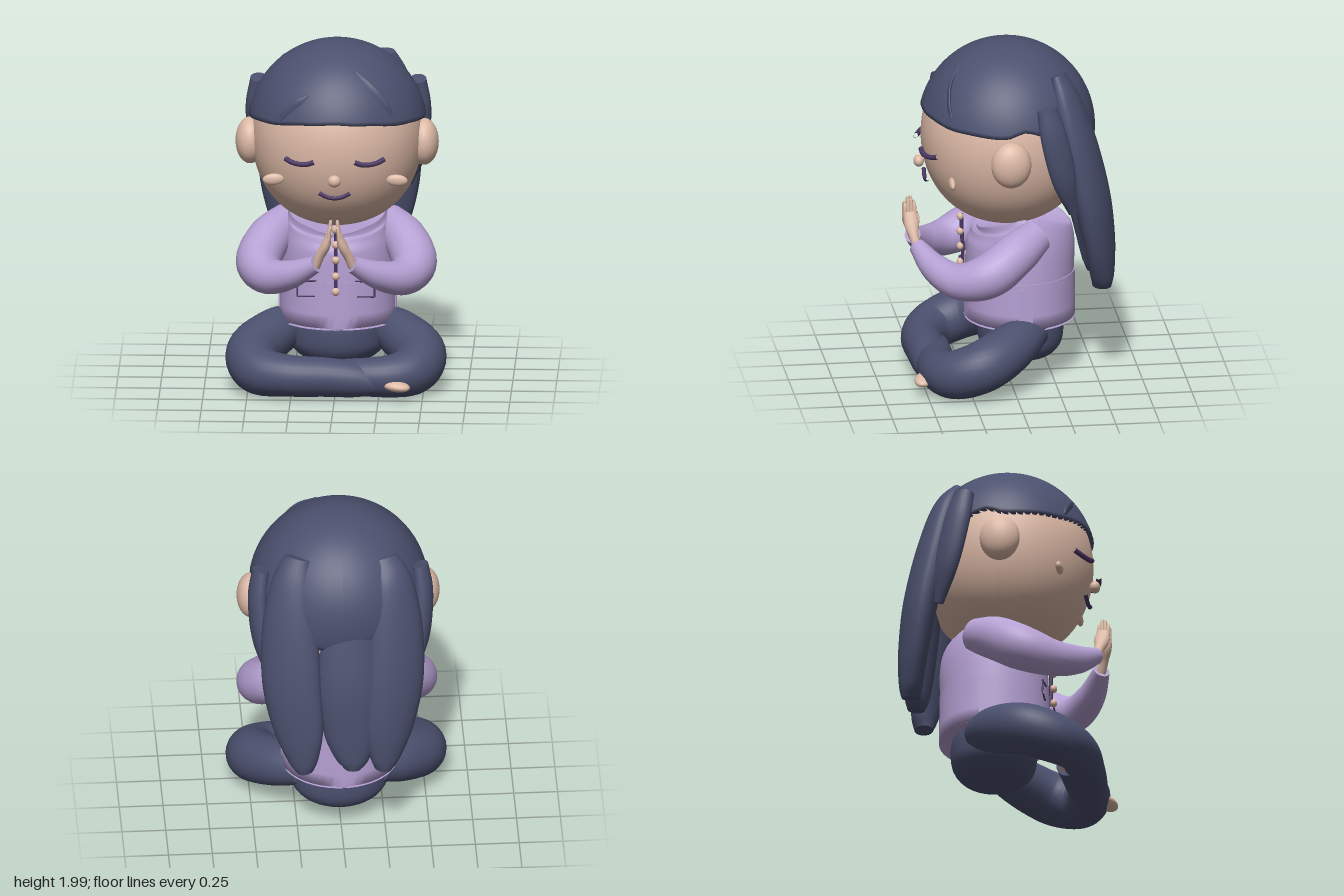
import * as THREE from 'three';

const mat = (name, color) => Object.assign(new THREE.MeshStandardMaterial({ color }), { name });
const V = (x, y, z) => new THREE.Vector3(x, y, z);
const X = V(1, 0, 0), Y = V(0, 1, 0), Z = V(0, 0, 1);

// Smooth capped tube with elliptical sections; each point is [x, y, z, width, thickness].
// The thickness axis leans towards the hint direction.
function loft(points, hint, steps = 28, sides = 24) {
  const path = new THREE.CatmullRomCurve3(points.map(p => V(p[0], p[1], p[2])), false, 'catmullrom');
  const size = new THREE.CatmullRomCurve3(points.map(p => V(p[3], p[4] ?? p[3], 0)), false, 'catmullrom');
  const pos = [], idx = [];
  for (let i = 0; i <= steps; i++) {
    const c = path.getPoint(i / steps), r = size.getPoint(i / steps), t = path.getTangent(i / steps);
    const w = hint.clone().cross(t).normalize(), n = t.clone().cross(w);
    for (let j = 0; j < sides; j++) {
      const a = j / sides * Math.PI * 2;
      const p = c.clone().addScaledVector(w, Math.cos(a) * r.x).addScaledVector(n, Math.sin(a) * r.y);
      pos.push(p.x, p.y, p.z);
      if (i === steps) continue;
      const k = (j + 1) % sides, lo = i * sides, hi = lo + sides;
      idx.push(lo + j, lo + k, hi + k, lo + j, hi + k, hi + j);
    }
  }
  // Flat end caps with their own vertices
  for (const end of [0, 1]) {
    const c = path.getPoint(end), base = pos.length / 3, ring = end * steps * sides;
    pos.push(c.x, c.y, c.z);
    for (let j = 0; j < sides; j++) {
      const q = (ring + j) * 3, a = base + 1 + j, b = base + 1 + (j + 1) % sides;
      pos.push(pos[q], pos[q + 1], pos[q + 2]);
      idx.push(base, end ? a : b, end ? b : a);
    }
  }
  const g = new THREE.BufferGeometry();
  g.setAttribute('position', new THREE.Float32BufferAttribute(pos, 3));
  g.setIndex(idx);
  g.computeVertexNormals();
  return g;
}

// Hair cap: a dome whose lower edge changes height around the head
const CAP = { y: 1.49, rx: 0.512, ry: 0.51, rz: 0.505 };
function capEdge(a) {
  const d = Math.abs(a) * 180 / Math.PI;
  const keys = [[0, 1.62], [18, 1.61], [50, 1.585], [82, 1.57], [96, 1.605], [106, 1.58], [125, 1.46], [150, 1.37], [181, 1.35]];
  const i = keys.findIndex(k => d < k[0]);
  const [d0, y0] = keys[i - 1], [d1, y1] = keys[i];
  return THREE.MathUtils.lerp(y0, y1, THREE.MathUtils.smoothstep(d, d0, d1));
}
function hairCap() {
  const g = new THREE.SphereGeometry(1, 72, 30), p = g.attributes.position, cols = 73, rows = 30;
  for (let i = 0; i < p.count; i++) {
    const row = Math.floor(i / cols), a = (i % cols) / 72 * Math.PI * 2 - Math.PI;
    const last = Math.acos((capEdge(a) - CAP.y) / CAP.ry);
    const th = last * Math.min(row / (rows - 1), 1), k = row === rows ? 0.88 : 1; // last row turns inward
    p.setXYZ(i, Math.sin(th) * Math.sin(a) * CAP.rx * k, CAP.y + Math.cos(th) * CAP.ry,
      Math.sin(th) * Math.cos(a) * CAP.rz * k);
  }
  g.computeVertexNormals();
  return g;
}
const onCap = (x, y) => CAP.rz * Math.sqrt(Math.max(0, 1 - (x / CAP.rx) ** 2 - ((y - CAP.y) / CAP.ry) ** 2));

// Head with full cheeks: the lower half swells slightly
function headShape() {
  const g = new THREE.SphereGeometry(1, 64, 48), p = g.attributes.position;
  for (let i = 0; i < p.count; i++) {
    const y = p.getY(i), k = y < 0 ? 0.488 * (1 + 0.09 * y * y) : 0.488;
    p.setXYZ(i, p.getX(i) * k, 1.45 + y * 0.523, p.getZ(i) * k);
  }
  g.computeVertexNormals();
  return g;
}

// Jacket body with a neckline that dips in the middle
function jacketBody() {
  const g = loft([[0, 0.36, -0.075, 0.325, 0.31], [0, 0.62, -0.075, 0.325, 0.31], [0, 0.82, -0.08, 0.315, 0.305],
    [0, 0.94, -0.06, 0.295, 0.265], [0, 1.0, -0.035, 0.275, 0.22]], Z, 30, 48);
  const p = g.attributes.position;
  for (let i = 0; i < p.count; i++) p.setY(i, Math.min(p.getY(i), 0.895 + 1.45 * p.getX(i) ** 2));
  g.computeVertexNormals();
  return g;
}

export function createModel() {
  const model = new THREE.Group();
  const skin = mat('skin', 0xdcb9a6), navy = mat('navy', 0x4b506e);
  const lavender = mat('lavender', 0xb5a0d3), plum = mat('plum', 0x4c3763);
  navy.side = THREE.DoubleSide;

  const add = (name, geometry, material, parent = model) => {
    const m = new THREE.Mesh(geometry, material);
    m.name = name;
    parent.add(m);
    return m;
  };
  const ball = (name, material, at, scale, roll = 0) => {
    const m = add(name, new THREE.SphereGeometry(1, 32, 24), material);
    m.position.set(...at);
    m.scale.set(...scale);
    m.rotation.z = roll;
    return m;
  };
  const line = (name, pts, r) => add(name, new THREE.TubeGeometry(
    new THREE.CatmullRomCurve3(pts.map(p => V(...p))), 20, r, 8), plum);
  const mirror = (pts, s) => pts.map(([x, ...rest]) => [x * s, ...rest]);

  // Head and face
  add('head', headShape(), skin);
  ball('nose', skin, [0, 1.295, 0.503], [0.037, 0.035, 0.03]);
  line('mouth', [[-0.088, 1.215, 0.462], [-0.045, 1.193, 0.465], [0, 1.186, 0.466], [0.045, 1.193, 0.465], [0.088, 1.215, 0.462]], 0.012);
  add('hairCap', hairCap(), navy);

  // Torso: jacket, lower panel, and trouser seat
  add('jacket', jacketBody(), lavender);
  add('jacketSkirt', loft([[0, 0.35, -0.075, 0.333, 0.317], [0, 0.63, -0.075, 0.331, 0.315]], Z, 4, 48), lavender);
  add('trouserSeat', loft([[0, 0.1, -0.08, 0.08, 0.08], [0, 0.13, -0.08, 0.2, 0.18], [0, 0.2, -0.08, 0.27, 0.235],
    [0, 0.3, -0.08, 0.28, 0.245], [0, 0.38, -0.08, 0.27, 0.235]], Z, 24, 40), navy);

  // Front fastening
  line('placket', [[0, 0.56, 0.25], [0, 0.75, 0.25], [0, 0.87, 0.256], [0, 0.97, 0.258]], 0.011);
  for (const y of [0.585, 0.675, 0.77, 0.86, 0.95]) ball('button', skin, [0, y, 0.265], [0.023, 0.023, 0.02]);

  for (const s of [1, -1]) {
    // Ears, closed eyes, cheeks
    ball('ear', skin, [s * 0.495, 1.415, 0.035], [0.084, 0.135, 0.115]);
    line('closedEye', mirror([[0.115, 1.408, 0.505], [0.155, 1.393, 0.5], [0.2, 1.389, 0.483], [0.245, 1.395, 0.458], [0.28, 1.408, 0.43]], s), 0.015);
    ball('cheek', skin, [s * 0.352, 1.267, 0.356], [0.061, 0.033, 0.02], -s * 0.06);

    // Pocket outline
    const rim = [[0.11, 0.642], [0.22, 0.636], [0.22, 0.55], [0.12, 0.55]];
    for (let i = 0; i < 3; i++) {
      const [a, b] = [rim[i], rim[i + 1]];
      line('pocketTrim', [[s * a[0], a[1], 0.24], [s * b[0], b[1], 0.235]], 0.005);
    }

    // Side vent flap
    add('sideVent', new THREE.BoxGeometry(0.008, 0.24, 0.08), lavender).position.set(s * 0.331, 0.48, -0.07);

    // Sleeve
    add('sleeve', loft(mirror([[0.28, 0.91, -0.135, 0.1], [0.385, 0.835, 0.0, 0.125], [0.445, 0.735, 0.16, 0.128],
      [0.385, 0.69, 0.32, 0.105], [0.25, 0.73, 0.44, 0.082], [0.1, 0.815, 0.525, 0.048]], s), Y, 36), lavender);

    // Praying hand
    const hand = new THREE.Group();
    hand.name = 'hand';
    model.add(hand);
    add('palm', loft(mirror([[0.105, 0.8, 0.52, 0.028, 0.026], [0.08, 0.865, 0.54, 0.028, 0.026],
      [0.048, 0.93, 0.55, 0.042, 0.028], [0.029, 1.0, 0.556, 0.036, 0.015]], s), X, 14, 16), skin, hand);
    [1.055, 1.08, 1.075, 1.05].forEach((top, i) => add('finger', loft(mirror([
      [0.03, 0.97, 0.528 + i * 0.018, 0.012], [0.026, 1.02, 0.53 + i * 0.018, 0.011],
      [0.019, top - 0.008, 0.532 + i * 0.017, 0.009], [0.018, top, 0.532 + i * 0.017, 0.003]], s), X, 10, 10), skin, hand));
    add('thumb', loft(mirror([[0.06, 0.9, 0.53, 0.016], [0.035, 0.95, 0.515, 0.013], [0.018, 0.985, 0.512, 0.006]], s), X, 8, 10), skin, hand);

    // Long back strand (the right one starts a little lower) and short strand behind the ear
    const out = V(s * 0.4, 0, -1).normalize();
    const [topY, topZ] = s > 0 ? [1.865, -0.265] : [1.835, -0.25];
    add('longStrand', loft(mirror([[0.25, topY, topZ, 0.075, 0.04], [0.285, 1.7, -0.315, 0.125, 0.075], [0.3, 1.45, -0.38, 0.165, 0.095],
      [0.295, 1.13, -0.455, 0.175, 0.095], [0.26, 0.85, -0.502, 0.15, 0.083], [0.235, 0.66, -0.52, 0.095, 0.068],
      [0.22, 0.575, -0.52, 0.05, 0.055]], s), out, 36), navy);
    add('sideStrand', loft(mirror([[0.455, 1.73, -0.175, 0.06, 0.045], [0.475, 1.55, -0.215, 0.08, 0.05],
      [0.455, 1.3, -0.275, 0.075, 0.045], [0.39, 1.08, -0.335, 0.03, 0.025]], s), V(s, 0, -0.35), 20), navy);
  }

  // Low ridges in the fringe
  const ridges = [
    [[0.11, 1.89, 0.008], [0.19, 1.8, 0.035], [0.27, 1.71, 0.035], [0.32, 1.65, 0.01]],
    [[-0.15, 1.77, 0.008], [-0.2, 1.72, 0.035], [-0.27, 1.66, 0.035], [-0.31, 1.62, 0.01]],
  ];
  for (const ridge of ridges) {
    add('fringeLock', loft(ridge.map(([x, y, w]) => [x, y, onCap(x, y) - 0.007, w, 0.011]), Z, 16, 16), navy);
  }

  // Middle back strand
  add('middleStrand', loft([[-0.03, 1.7, -0.37, 0.1, 0.05], [-0.03, 1.4, -0.43, 0.16, 0.08], [-0.03, 1.1, -0.485, 0.18, 0.095],
    [-0.04, 0.82, -0.505, 0.155, 0.085], [-0.05, 0.65, -0.515, 0.1, 0.07], [-0.05, 0.58, -0.52, 0.05, 0.05]], V(0, 0, -1), 30), navy);

  // Crossed legs: the right shin passes in front of the left one
  const thigh = [[0.21, 0.325, -0.13, 0.1], [0.35, 0.28, 0.0, 0.137], [0.475, 0.21, 0.18, 0.15]];
  add('leftLeg', loft([...thigh, [0.44, 0.148, 0.345, 0.14], [0.28, 0.13, 0.425, 0.118],
    [0.05, 0.125, 0.41, 0.1], [-0.17, 0.115, 0.375, 0.07]], Y, 44, 28), navy);
  add('rightLeg', loft([...mirror(thigh, -1), [-0.44, 0.148, 0.36, 0.14], [-0.27, 0.138, 0.45, 0.12],
    [-0.05, 0.132, 0.455, 0.112], [0.13, 0.118, 0.455, 0.1], [0.27, 0.1, 0.475, 0.06]], Y, 44, 28), navy);
  ball('rightFoot', skin, [0.35, 0.098, 0.515], [0.085, 0.032, 0.055], -0.1).rotation.y = -0.35;
  ball('leftFoot', skin, [-0.2, 0.1, 0.37], [0.06, 0.035, 0.045]);

  return model;
}
